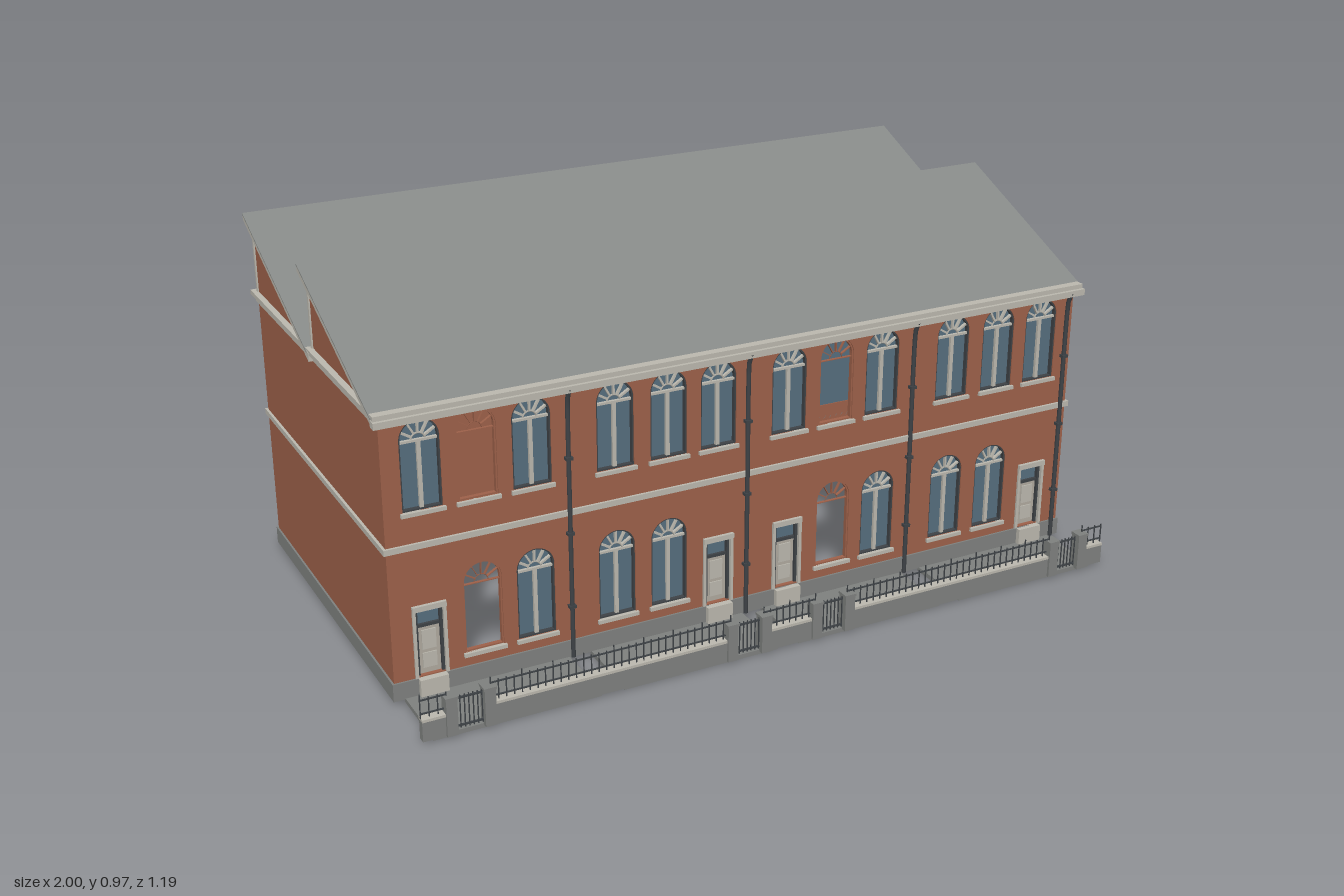
import * as THREE from 'three';
import { mergeGeometries } from 'three/addons/utils/BufferGeometryUtils.js';

const mat = (name, color) => Object.assign(new THREE.MeshStandardMaterial({ color }), { name });

export function createModel() {
  const root = new THREE.Group();
  root.name = 'terraceOfHouses';
  const brick = mat('brick', 0x9c6049), slate = mat('roofSlate', 0x858886), stone = mat('greyStone', 0x7e807e);
  const trim = mat('paleTrim', 0xbab7ad), glass = mat('windowGlass', 0x566d7d), dark = mat('darkMetal', 0x3e4246);
  const doorMat = mat('doorPaint', 0xaea89e);

  const add = (name, m, geo, parent = root) => {
    const mesh = new THREE.Mesh(geo, m);
    mesh.name = name;
    parent.add(mesh);
    return mesh;
  };
  const boxGeo = (x0, x1, y0, y1, z0, z1) =>
    new THREE.BoxGeometry(x1 - x0, y1 - y0, z1 - z0).translate((x0 + x1) / 2, (y0 + y1) / 2, (z0 + z1) / 2);
  const box = (name, m, ...b) => add(name, m, boxGeo(...b));
  const extrude = (shape, depth, z) =>
    new THREE.ExtrudeGeometry(shape, { depth, bevelEnabled: false, curveSegments: 10 }).translate(0, 0, z);
  // Flat bar between two points in a vertical plane
  const barGeo = (x0, y0, x1, y1, w, z, d) =>
    new THREE.BoxGeometry(Math.hypot(x1 - x0, y1 - y0), w, d)
      .rotateZ(Math.atan2(y1 - y0, x1 - x0)).translate((x0 + x1) / 2, (y0 + y1) / 2, z);
  const rect = (C, x0, x1, y0, y1) => {
    const p = new C();
    p.moveTo(x0, y0); p.lineTo(x1, y0); p.lineTo(x1, y1); p.lineTo(x0, y1); p.closePath();
    return p;
  };
  const arch = (C, x, y0, spring, r) => {
    const p = new C();
    p.moveTo(x - r, y0); p.lineTo(x + r, y0); p.lineTo(x + r, spring);
    p.absarc(x, spring, r, 0, Math.PI, false);
    p.closePath();
    return p;
  };
  // Profile in the z-y plane swept along x
  const sweep = (pts, width) => new THREE.ExtrudeGeometry(
    new THREE.Shape(pts.map(p => new THREE.Vector2(...p))), { depth: width, bevelEnabled: false })
    .rotateY(-Math.PI / 2).translate(width / 2, 0, 0);
  // Four bands running round the outside of the house
  const ring = (name, m, y0, y1, out, t = 0.025) => {
    const X = 0.982 + out, F = 0.387 + out, B = -0.568 - out;
    add(name, m, mergeGeometries([
      boxGeo(-X, X, y0, y1, F - t, F), boxGeo(-X, X, y0, y1, B, B + t),
      boxGeo(-X, -X + t, y0, y1, B + t, F - t), boxGeo(X - t, X, y0, y1, B + t, F - t)]));
  };

  // Opening positions
  const R = 0.05;
  const upper = [-0.885, -0.746, -0.607, -0.388, -0.243, -0.104, 0.099, 0.238, 0.377, 0.596, 0.741, 0.88];
  const doors = [-0.885, -0.104, 0.099, 0.88];
  const windows = [];
  upper.forEach(x => {
    windows.push({ x, y: 0.497, s: 0.677 });
    if (!doors.includes(x)) windows.push({ x, y: 0.093, s: 0.28 });
  });
  const backX = [-0.835, -0.64, 0.64, 0.835], backY = [[0.095, 0.3], [0.495, 0.7]];

  // Brick walls with openings
  const front = rect(THREE.Shape, -0.982, 0.982, 0.02, 0.74);
  windows.forEach(w => front.holes.push(arch(THREE.Path, w.x, w.y, w.s, R)));
  doors.forEach(x => front.holes.push(rect(THREE.Path, x - 0.036, x + 0.036, 0.06, 0.245)));
  add('frontWall', brick, extrude(front, 0.02, 0.367));
  const back = rect(THREE.Shape, -0.982, 0.982, 0.02, 0.74);
  backX.forEach(x => backY.forEach(([a, b]) => back.holes.push(rect(THREE.Path, x - 0.075, x + 0.075, a, b))));
  add('backWall', brick, extrude(back, 0.02, -0.568));
  for (const s of [-1, 1]) {
    const x = s * 0.972;
    box('sideWall', brick, x - 0.01, x + 0.01, 0.02, 0.74, -0.548, 0.367);
  }

  // Horizontal bands
  ring('stonePlinth', stone, 0.01, 0.057, 0.005);
  ring('beltCourse', trim, 0.401, 0.416, 0.007);
  ring('corniceBand', trim, 0.727, 0.748, 0.006);
  ring('corniceLip', trim, 0.745, 0.757, 0.016, 0.04);
  box('frontGutter', trim, -1, 1, 0.728, 0.745, 0.39, 0.412);

  // Arched front windows; two bays stand unglazed
  windows.forEach(({ x, y, s }) => {
    const open = x === -0.746 && true || x === 0.238;
    const g = new THREE.Group();
    g.name = 'archedWindow';
    root.add(g);
    add('sill', trim, boxGeo(x - 0.056, x + 0.056, y - 0.01, y, 0.38, 0.395), g);
    const z = 0.378, bars = [], c = s - 0.006;
    const rim = arch(THREE.Shape, x, y, s, R);
    rim.holes.push(arch(THREE.Path, x, y + 0.004, s, R - 0.004));
    add('windowRim', open ? brick : dark, extrude(rim, 0.012, 0.372), g);
    for (const a of [30, 60, 90, 120, 150]) {
      const k = a * Math.PI / 180;
      bars.push(barGeo(x + 0.018 * Math.cos(k), c + 0.018 * Math.sin(k),
        x + 0.05 * Math.cos(k), c + 0.052 * Math.sin(k), open ? 0.002 : 0.005, z, 0.008));
    }
    bars.push(new THREE.TorusGeometry(0.018, open ? 0.0012 : 0.0025, 4, 10, Math.PI).translate(x, c, z));
    bars.push(boxGeo(x - R, x + R, c - 0.003, c + (open ? -0.001 : 0.003), z - 0.004, z + 0.004));
    if (!open) {
      bars.push(boxGeo(x - 0.005, x + 0.005, y, c, z - 0.004, z + 0.004));
      add('pane', glass, extrude(arch(THREE.Shape, x, y, s, R), 0.004, 0.368), g);
    }
    add('glazingBars', open ? brick : trim, mergeGeometries(bars.map(b => b.toNonIndexed())), g);
  });

  // Front doors with fanlights, frames and steps
  doors.forEach(x => {
    box('doorLeaf', doorMat, x - 0.029, x + 0.029, 0.058, 0.187, 0.368, 0.376);
    box('doorPanel', trim, x - 0.018, x + 0.018, 0.075, 0.115, 0.376, 0.379);
    box('doorPanel', trim, x - 0.018, x + 0.018, 0.125, 0.177, 0.376, 0.379);
    box('fanlight', glass, x - 0.029, x + 0.029, 0.195, 0.235, 0.368, 0.373);
    box('doorTransom', dark, x - 0.03, x + 0.03, 0.187, 0.195, 0.368, 0.38);
    for (const s of [-1, 1]) {
      box('doorJamb', dark, x + s * 0.032 - 0.004, x + s * 0.032 + 0.004, 0.058, 0.238, 0.368, 0.384);
      box('doorArchitrave', trim, x + s * 0.039 - 0.004, x + s * 0.039 + 0.004, 0.058, 0.238, 0.38, 0.393);
    }
    box('doorHead', trim, x - 0.043, x + 0.043, 0.237, 0.251, 0.375, 0.396);
    box('doorStep', trim, x - 0.036, x + 0.036, 0.012, 0.057, 0.385, 0.405);
  });

  // Rectangular back windows
  backX.forEach(x => backY.forEach(([a, b]) => {
    box('backLintel', trim, x - 0.085, x + 0.085, b, b + 0.02, -0.574, -0.56);
    box('backSill', trim, x - 0.083, x + 0.083, a - 0.01, a, -0.576, -0.56);
    if (x === -0.835) add('backPane', glass, new THREE.PlaneGeometry(0.15, b - a).rotateY(Math.PI).translate(x, (a + b) / 2, -0.553));
    else box('backPane', glass, x - 0.075, x + 0.075, a, b, -0.555, -0.551);
    for (const d of [-0.071, 0, 0.071])
      box('backMullion', trim, x + d - 0.004, x + d + 0.004, a, b, -0.562, -0.552);
    box('backRail', dark, x - 0.075, x + 0.075, b - 0.006, b, -0.561, -0.552);
  }));

  // Two saw-tooth roofs over brick gables
  const slope = 0.427, top = z => 0.745 + slope * (0.405 - z);
  for (const dz of [0, -0.477]) {
    const g = new THREE.Group();
    g.name = 'monoPitchRoof';
    g.position.z = dz;
    root.add(g);
    const a = 0.405, b = -0.114;
    add('gableWall', brick, sweep([[0.358, 0.745], [-0.085, 0.745], [-0.085, top(-0.085) - 0.016]], 1.964), g);
    add('roofBoard', trim, sweep([[a, top(a) - 0.018], [a, top(a) - 0.002], [b, top(b) - 0.002], [b, top(b) - 0.018]], 1.998), g);
    add('roofSlates', slate, sweep([[a - 0.012, top(a - 0.012) - 0.003], [a - 0.012, top(a - 0.012) + 0.001],
      [b, top(b) + 0.001], [b, top(b) - 0.003]], 2), g);
    for (const s of [-1, 1])
      add('gableCornerTrim', trim, boxGeo(s * 0.981 - 0.005, s * 0.981 + 0.005, 0.75, 0.938, -0.089, -0.08), g);
  }
  // Valley trim below the rear roof eave
  add('valleyTrim', trim, sweep([[-0.07, 0.732], [-0.07, 0.75], [-0.13, 0.757], [-0.13, 0.75]], 1.998));

  // Drainpipes
  for (const x of [-0.516, -0.024, 0.468, 0.96]) {
    const path = new THREE.CatmullRomCurve3([[0.012, 0.395], [0.35, 0.395], [0.69, 0.395], [0.712, 0.397], [0.738, 0.408]]
      .map(([y, z]) => new THREE.Vector3(x, y, z)));
    add('drainpipe', dark, new THREE.TubeGeometry(path, 24, 0.006, 8));
    for (const y of [0.15, 0.35, 0.55]) box('pipeBracket', dark, x - 0.009, x + 0.009, y, y + 0.008, 0.386, 0.402);
  }

  // Front yards
  for (const x of [-0.741, -0.249, 0.243, 0.735])
    box('yardPaving', stone, x - 0.216, x + 0.216, 0, 0.012, 0.385, 0.58);

  // Garden walls with iron railings
  for (const [x0, x1] of [[-0.985, -0.92], [-0.81, -0.17], [-0.075, 0.075], [0.17, 0.81], [0.92, 0.985]]) {
    box('gardenWall', stone, x0, x1, 0.008, 0.06, 0.567, 0.587);
    box('wallCoping', trim, x0, x1, 0.06, 0.067, 0.565, 0.589);
    const bars = [boxGeo(x0, x1, 0.112, 0.115, 0.575, 0.579), boxGeo(x0, x1, 0.076, 0.079, 0.575, 0.579)];
    const n = Math.max(2, Math.round((x1 - x0) / 0.02));
    for (let i = 0; i <= n; i++) {
      const x = x0 + (x1 - x0) * i / n;
      bars.push(boxGeo(x - 0.0012, x + 0.0012, 0.066, i % 4 ? 0.12 : 0.13, 0.576, 0.579));
    }
    add('ironRailing', dark, mergeGeometries(bars));
  }
  // Gate piers and low gates
  for (const x of [-0.865, -0.122, 0.122, 0.865]) {
    for (const s of [-1, 1]) {
      const p = x + s * 0.048;
      box('gatePier', stone, p - 0.014, p + 0.014, 0.008, 0.104, 0.563, 0.594);
      box('pierCap', stone, p - 0.016, p + 0.016, 0.104, 0.111, 0.562, 0.596);
    }
    const bars = [boxGeo(x - 0.034, x + 0.034, 0.094, 0.098, 0.575, 0.58), boxGeo(x - 0.034, x + 0.034, 0.02, 0.024, 0.575, 0.58)];
    for (let i = -3; i <= 3; i++) bars.push(boxGeo(x + i * 0.011 - 0.0012, x + i * 0.011 + 0.0012, 0.015, 0.103, 0.576, 0.579));
    add('gate', dark, mergeGeometries(bars));
  }
  return root;
}
